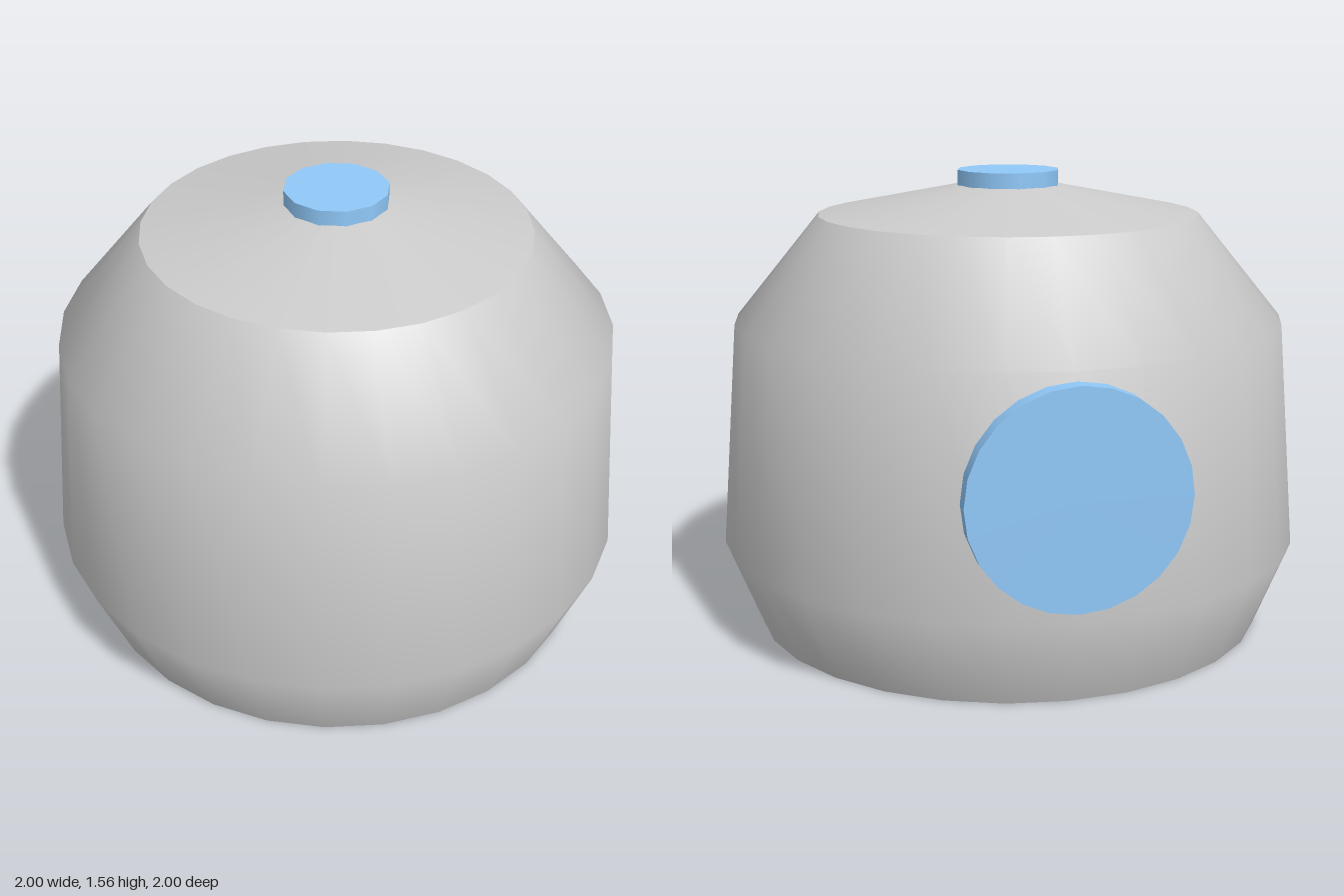
import * as THREE from 'three';

const SIDES = 28;

export function createModel() {
  const group = new THREE.Group();
  const grey = new THREE.MeshStandardMaterial({ color: 0xcccccc });
  const blue = new THREE.MeshStandardMaterial({ color: 0x90c8f8 });

  const add = (name, geometry, material) => {
    const mesh = new THREE.Mesh(geometry, material);
    mesh.name = name;
    group.add(mesh);
    return mesh;
  };
  const lathe = (points) =>
    new THREE.LatheGeometry(points.map(([r, y]) => new THREE.Vector2(r, y)), SIDES);

  // Smooth rounded wall, with the base and lid separate so their rims stay sharp
  add('bodyWall', lathe([[0.88, 0], [1, 0.3], [0.94, 1.06], [0.65, 1.415]]), grey);
  add('base', lathe([[0, 0], [0.88, 0]]), grey);
  add('lid', lathe([[0.65, 1.415], [0, 1.545]]), grey);

  // Round button on the lid
  const topButton = add('topButton', new THREE.CylinderGeometry(0.175, 0.175, 0.06, 12), blue);
  topButton.position.y = 1.532;

  // Round plate on the back
  const backPlate = add('backPlate', new THREE.CylinderGeometry(0.35, 0.35, 0.06, 24), blue);
  backPlate.rotation.x = -Math.PI / 2;
  backPlate.position.set(0, 0.68, -0.97);

  return group;
}
